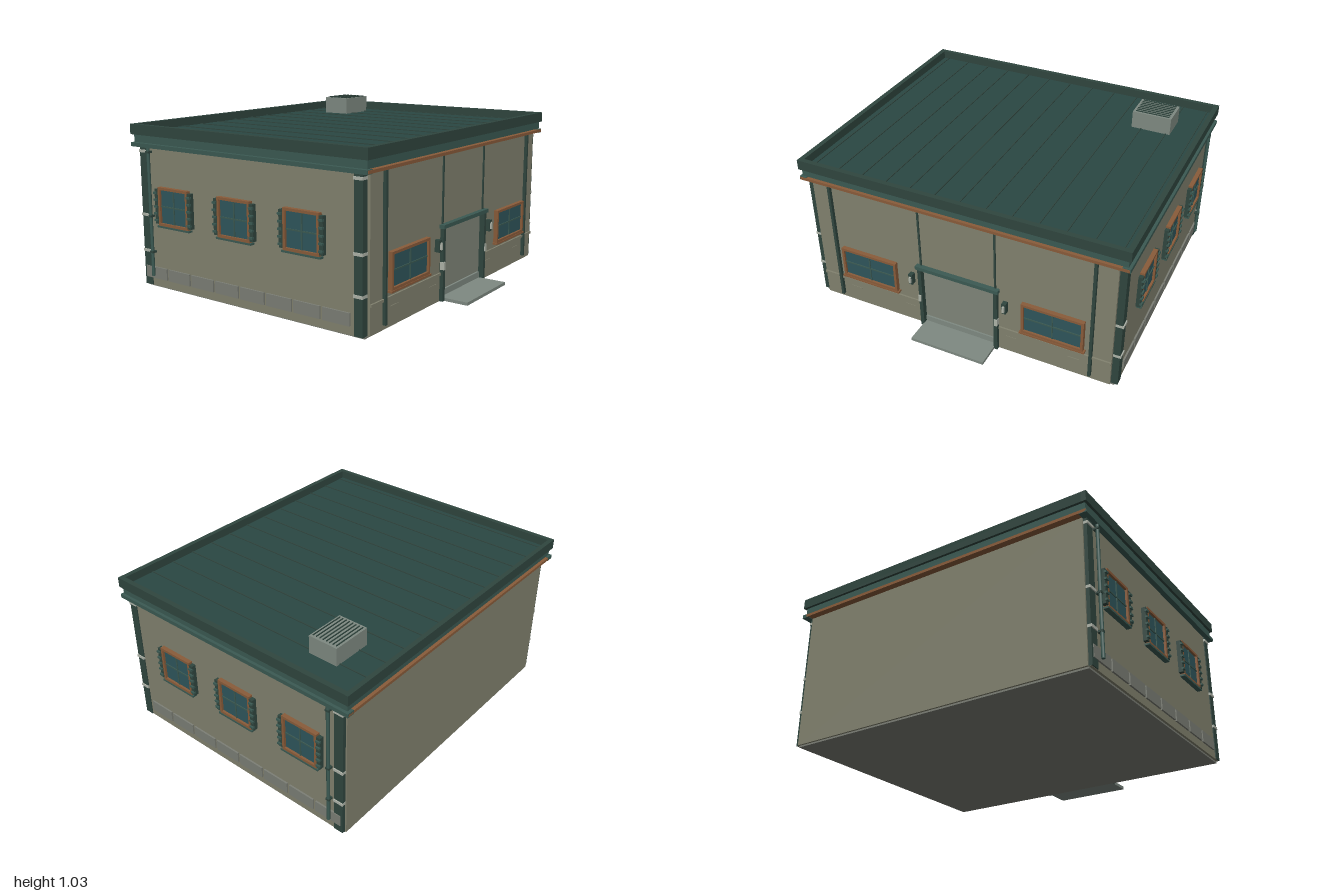
import * as THREE from 'three';

const mat = (color) => new THREE.MeshStandardMaterial({ color, roughness: 0.85 });
const M = {
  wall: mat(0x82826f), green: mat(0x3b5a53), dark: mat(0x30463f), roof: mat(0x2a4743), base: mat(0x7c7f76),
  glass: mat(0x2f565c), wood: mat(0x8a5c3a), metal: mat(0x7f8a82), door: mat(0x80867a), light: mat(0xb0b5aa),
};

// box given by its two opposite extents on each axis
function slab(parent, name, m, x0, x1, y0, y1, z0, z1) {
  const g = new THREE.BoxGeometry(Math.abs(x1 - x0), Math.abs(y1 - y0), Math.abs(z1 - z0));
  const mesh = new THREE.Mesh(g, m);
  mesh.position.set((x0 + x1) / 2, (y0 + y1) / 2, (z0 + z1) / 2);
  mesh.name = name;
  parent.add(mesh);
  return mesh;
}

// window facing +z with its back at z = 0: frame, glass, cross bars and sill
function makeWindow(name, w, h, sillMaterial) {
  const g = new THREE.Group();
  g.name = name;
  const t = 0.015, depth = 0.026;
  const s = new THREE.Shape();
  s.moveTo(-w / 2, -h / 2).lineTo(w / 2, -h / 2).lineTo(w / 2, h / 2).lineTo(-w / 2, h / 2).closePath();
  const a = w / 2 - t, b = h / 2 - t;
  const hole = new THREE.Path();
  hole.moveTo(-a, -b).lineTo(-a, b).lineTo(a, b).lineTo(a, -b).closePath();
  s.holes.push(hole);
  const frame = new THREE.Mesh(new THREE.ExtrudeGeometry(s, { depth, bevelEnabled: false }), M.wood);
  frame.name = 'windowFrame';
  g.add(frame);
  slab(g, 'glass', M.glass, -a, a, -b, b, 0, 0.013);
  slab(g, 'mullion', M.green, -0.004, 0.004, -b, b, 0.013, 0.018);
  slab(g, 'glazingBar', M.green, -a, a, -0.004, 0.004, 0.013, 0.018);
  slab(g, 'sill', sillMaterial, -w / 2 - 0.01, w / 2 + 0.01, -h / 2 - 0.011, -h / 2, 0, depth + 0.003);
  return g;
}

export function createModel() {
  const root = new THREE.Group();
  root.name = 'building';

  // main body, with the front wall standing forward around a recessed door
  slab(root, 'walls', M.wall, -0.964, 0.964, 0.01, 0.9, -0.855, 0.715);
  slab(root, 'backWall', M.wall, -0.95, 0.95, 0.01, 0.86, -0.866, -0.855);
  for (const s of [-1, 1]) slab(root, 'frontWall', M.wall, s * 0.24, s * 0.93, 0.012, 0.86, 0.715, 0.738);
  slab(root, 'frontWallAboveDoor', M.wall, -0.24, 0.24, 0.44, 0.86, 0.715, 0.738);
  slab(root, 'foundation', M.base, -0.95, 0.95, 0, 0.01, -0.855, 0.72);

  // eaves: lower fascia, side gutters, wooden front and back trim
  slab(root, 'fascia', M.green, -0.98, 0.98, 0.86, 0.905, -0.89, 0.755);
  for (const s of [-1, 1]) slab(root, 'gutter', M.green, s * 0.95, s * 0.995, 0.835, 0.858, -0.905, 0.765);
  slab(root, 'frontTrim', M.wood, -0.99, 0.99, 0.838, 0.855, 0.7, 0.768);
  slab(root, 'backTrim', M.wood, -0.99, 0.99, 0.838, 0.855, -0.905, -0.86);

  // sunken roof deck with parapet and standing seams
  slab(root, 'roofDeck', M.roof, -0.97, 0.97, 0.9, 0.916, -0.885, 0.745);
  for (const s of [-1, 1]) slab(root, 'parapetSide', M.dark, s * 0.965, s * 0.995, 0.905, 0.965, -0.905, 0.768);
  slab(root, 'parapetFront', M.dark, -0.965, 0.965, 0.905, 0.965, 0.738, 0.768);
  slab(root, 'parapetBack', M.dark, -0.965, 0.965, 0.905, 0.965, -0.905, -0.878);
  for (let i = -6; i <= 6; i++) {
    const x = i * 0.155;
    slab(root, 'roofSeam', M.dark, x - 0.003, x + 0.003, 0.916, 0.921, -0.878, 0.738);
  }

  // rooftop ventilation unit
  const vent = new THREE.Group();
  vent.name = 'roofVent';
  slab(vent, 'ventBox', M.metal, 0.56, 0.8, 0.91, 1.022, -0.675, -0.495);
  for (let i = 0; i < 8; i++) {
    const z = -0.66 + i * 0.0214;
    slab(vent, 'ventSlat', M.dark, 0.575, 0.785, 1.022, 1.028, z - 0.002, z + 0.002);
  }
  root.add(vent);

  // both side walls mirror each other
  for (const s of [-1, 1]) {
    // corner posts with light bands
    for (const [z0, z1] of [[0.67, 0.722], [-0.858, -0.8]]) {
      slab(root, 'cornerPost', M.dark, s * 0.93, s * 0.97, 0.012, 0.86, z0, z1);
      for (const y of [0.22, 0.435, 0.81])
        slab(root, 'postBand', M.light, s * 0.93, s * 0.976, y - 0.008, y + 0.008, z0 - 0.002, z1 + 0.002);
    }

    // downpipe
    const pipe = new THREE.Mesh(new THREE.CylinderGeometry(0.01, 0.01, 0.76, 10), M.green);
    pipe.name = 'downpipe';
    pipe.position.set(s * 0.984, 0.455, -0.773);
    root.add(pipe);
    for (const y of [0.22, 0.435, 0.81])
      slab(root, 'pipeBracket', M.dark, s * 0.95, s * 0.994, y - 0.006, y + 0.006, -0.785, -0.761);

    // windows with slatted shutters
    for (const z of [0.351, -0.115, -0.582]) {
      const win = makeWindow('sideWindow', 0.236, 0.225, M.green);
      for (const t of [-1, 1]) {
        slab(win, 'shutter', M.dark, t * 0.118, t * 0.144, -0.103, 0.1, 0, 0.026);
        for (let i = 0; i < 5; i++) {
          const y = -0.082 + i * 0.04;
          slab(win, 'shutterSlat', M.green, t * 0.12, t * 0.146, y - 0.006, y + 0.006, 0.02, 0.035);
        }
      }
      win.position.set(s * 0.964, 0.502, z);
      win.rotation.y = s * Math.PI / 2;
      root.add(win);
    }

    // row of base panels
    for (let i = 0; i < 8; i++) {
      const z = 0.644 - i * 0.188;
      slab(root, 'basePanel', M.base, s * 0.95, s * 0.974, 0.058, 0.127, z - 0.172, z);
    }
  }

  // front wall details, mirrored left and right
  for (const s of [-1, 1]) {
    const win = makeWindow('frontWindow', 0.37, 0.202, M.wood);
    win.position.set(s * 0.585, 0.312, 0.738);
    root.add(win);

    slab(root, 'pilaster', M.dark, s * 0.803, s * 0.82, 0.04, 0.838, 0.73, 0.757);
    slab(root, 'wallStrip', M.dark, s * 0.23, s * 0.241, 0.44, 0.838, 0.73, 0.745);
    slab(root, 'ledge', M.wall, s * 0.255, s * 0.93, 0.163, 0.178, 0.73, 0.748);
    for (const x of [0.33, 0.71]) slab(root, 'wallSlot', M.wall, s * (x - 0.035), s * (x + 0.035), 0.118, 0.122, 0.73, 0.741);

    // wall lamp
    slab(root, 'lampBody', M.dark, s * 0.285, s * 0.311, 0.308, 0.377, 0.73, 0.768);
    slab(root, 'lampGlow', M.light, s * 0.292, s * 0.304, 0.322, 0.362, 0.75, 0.778);

    // door jamb and latch plate
    slab(root, 'doorJamb', M.dark, s * 0.23, s * 0.253, 0.012, 0.435, 0.71, 0.76);
    slab(root, 'latchPlate', M.light, s * 0.238, s * 0.255, 0.195, 0.24, 0.74, 0.766);
  }

  // entrance
  slab(root, 'doorLintel', M.green, -0.262, 0.262, 0.43, 0.452, 0.71, 0.768);
  slab(root, 'door', M.door, -0.23, 0.23, 0.07, 0.43, 0.71, 0.728);
  slab(root, 'doorKickPlate', M.metal, -0.23, 0.23, 0.025, 0.066, 0.71, 0.734);
  slab(root, 'doorstep', M.metal, -0.233, 0.233, 0.012, 0.03, 0.71, 0.905);

  return root;
}
